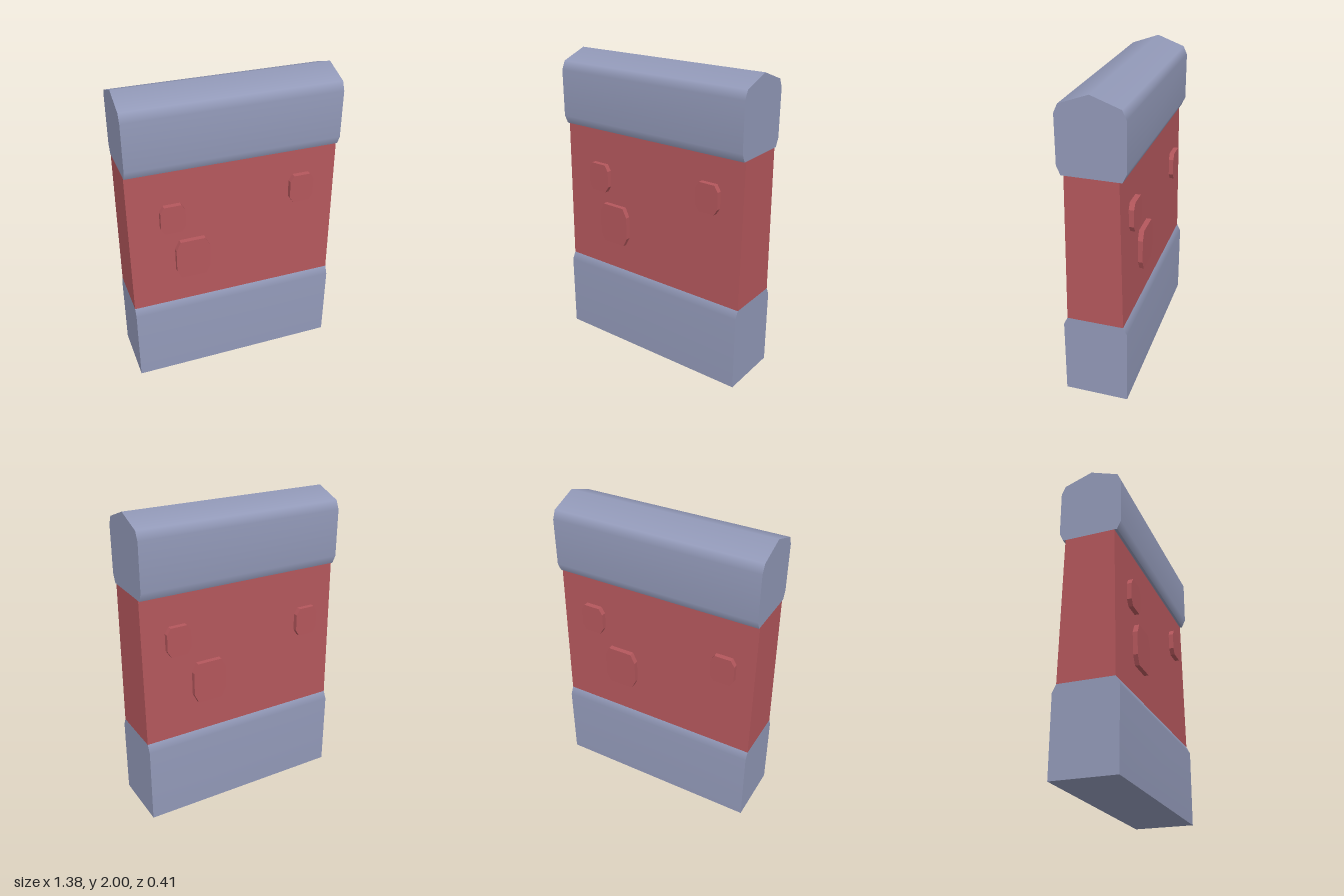
import * as THREE from 'three';
import { mergeGeometries } from 'three/addons/utils/BufferGeometryUtils.js';

const HALF = 0.69; // half the wall's length

// Closed prism along x from the front half of a profile, [z, y] from bottom to top.
// Shallow edges are smooth (weighted by facet width), steep ones stay sharp.
function prism(half) {
  const back = half.filter(([z]) => z > 0).map(([z, y]) => [-z, y]).reverse();
  const loop = [...half, ...back].map(([z, y]) => new THREE.Vector2(z, y));
  const n = loop.length;
  const facets = loop.map((p, i) => {
    const q = loop[(i + 1) % n];
    return new THREE.Vector2(q.y - p.y, p.x - q.x); // outward, length = facet width
  });
  const blend = (a, b) => {
    const v = a.clone();
    if (a.clone().normalize().dot(b.clone().normalize()) > Math.cos(0.87)) v.add(b);
    return v.normalize();
  };
  const pos = [], nor = [], idx = [];
  facets.forEach((f, i) => {
    const ends = [
      [loop[i], blend(f, facets[(i + n - 1) % n])],
      [loop[(i + 1) % n], blend(f, facets[(i + 1) % n])],
    ];
    const k = i * 4;
    for (const [p, m] of ends) {
      for (const x of [-HALF, HALF]) {
        pos.push(x, p.y, p.x);
        nor.push(0, m.y, m.x);
      }
    }
    idx.push(k, k + 1, k + 3, k, k + 3, k + 2);
  });
  const sides = new THREE.BufferGeometry();
  sides.setAttribute('position', new THREE.Float32BufferAttribute(pos, 3));
  sides.setAttribute('normal', new THREE.Float32BufferAttribute(nor, 3));
  sides.setIndex(idx);

  // flat ends
  const ends = [-1, 1].map((s) => {
    const g = new THREE.ShapeGeometry(new THREE.Shape(loop));
    g.deleteAttribute('uv');
    return g.rotateY(s * Math.PI / 2).translate(s * HALF, 0, 0);
  });
  return mergeGeometries([sides, ...ends]);
}

// Raised block with clipped corners, extruded from inside the wall
function block(w, h, cx, cy, depth) {
  const a = w / 2, b = h / 2;
  const pts = [
    [a - cx, -b], [a, -b + cy], [a, b - cy], [a - cx, b],
    [-a + cx, b], [-a, b - cy], [-a, -b + cy], [-a + cx, -b],
  ].map(([x, y]) => new THREE.Vector2(x, y));
  return new THREE.ExtrudeGeometry(new THREE.Shape(pts), { depth, bevelEnabled: false });
}

export function createModel() {
  const group = new THREE.Group();
  const stone = new THREE.MeshStandardMaterial({ name: 'blue grey stone', color: 0x9299b8 });
  const brick = new THREE.MeshStandardMaterial({ name: 'red brick', color: 0xb4575c });

  const add = (name, geometry, material) => {
    const mesh = new THREE.Mesh(geometry, material);
    mesh.name = name;
    group.add(mesh);
    return mesh;
  };

  // Base, tapering wall and ridged cap
  add('base', prism([[0.205, 0], [0.205, 0.505], [0.18, 0.555]]), stone);
  add('wall', prism([[0.18, 0.555], [0.163, 1.52]]), brick);
  add('cap', prism([[0.18, 1.52], [0.205, 1.575], [0.205, 1.88], [0.18, 1.935], [0, 2]]), stone);

  // Raised bricks: side, x, y, large
  const bricks = [
    [1, -0.41, 1.195, false], [1, 0.45, 1.25, false], [1, -0.288, 0.883, true],
    [-1, 0.455, 1.225, false], [-1, -0.485, 1.155, false], [-1, 0.25, 0.905, true],
  ];
  for (const [side, x, y, large] of bricks) {
    const depth = large ? 0.055 : 0.05;
    const geometry = large ? block(0.225, 0.272, 0.03, 0.06, depth) : block(0.16, 0.19, 0.025, 0.04, depth);
    const mesh = add((side > 0 ? 'front' : 'back') + (large ? 'LargeBrick' : 'SmallBrick'), geometry, brick);
    mesh.position.set(x, y, side * 0.15);
    if (side < 0) mesh.rotation.y = Math.PI;
  }
  return group;
}
